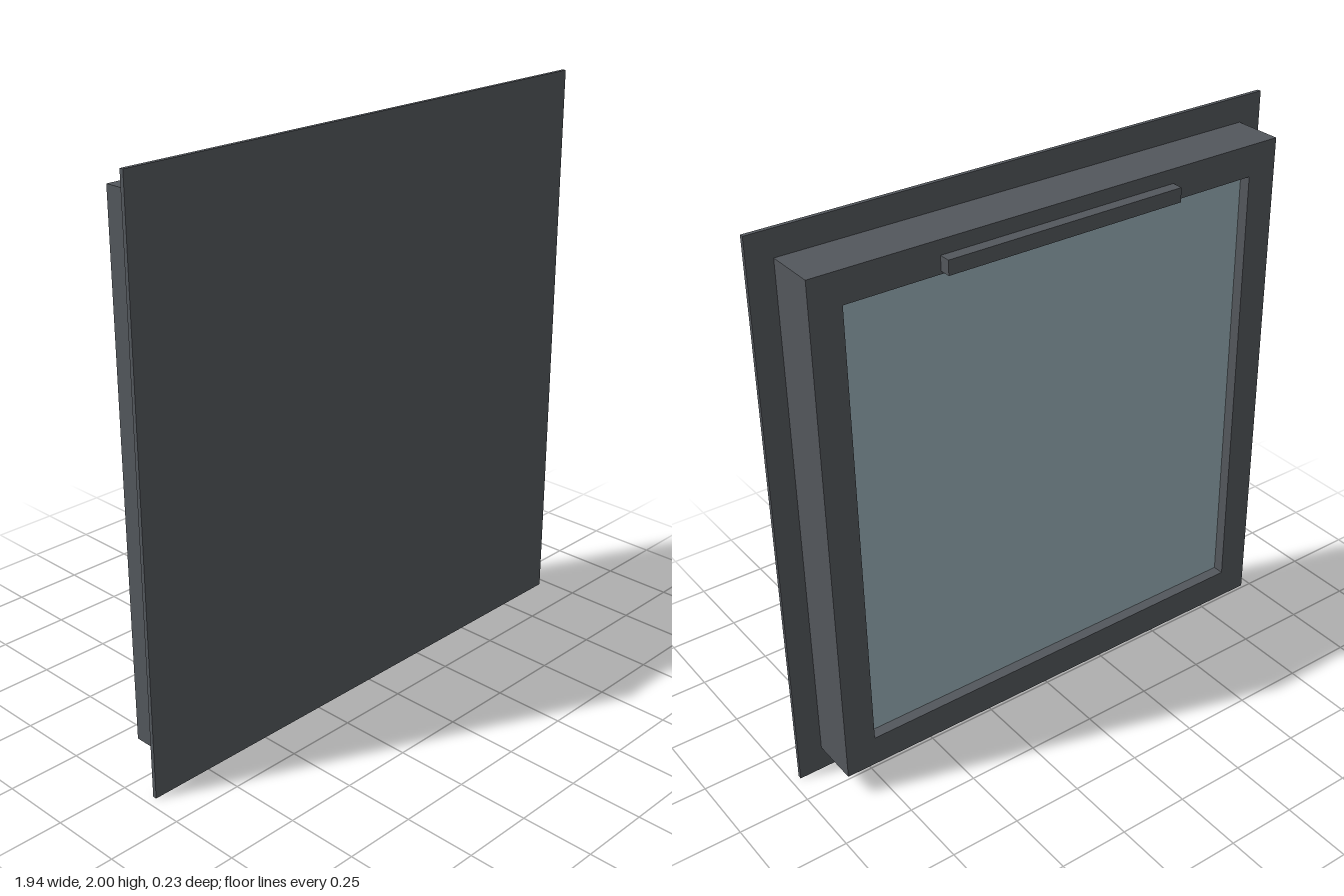
import * as THREE from 'three';

export function createModel() {
  const model = new THREE.Group();
  const frameMat = new THREE.MeshStandardMaterial({ color: 0x53575c });
  frameMat.name = 'anthraciteFrame';
  const glassMat = new THREE.MeshStandardMaterial({ color: 0x98aeb6 });
  glassMat.name = 'paleBlueGlass';

  const add = (name, geometry, material, x, y, z) => {
    const mesh = new THREE.Mesh(geometry, material);
    mesh.name = name;
    mesh.position.set(x, y, z);
    model.add(mesh);
  };
  // Closed rectangle centred on the origin, for outlines and holes
  const rectangle = (Type, w, h) => new Type([
    new THREE.Vector2(-w / 2, -h / 2), new THREE.Vector2(w / 2, -h / 2),
    new THREE.Vector2(w / 2, h / 2), new THREE.Vector2(-w / 2, h / 2),
  ]);

  // Thin front cover sheet, wider than the frame all round
  add('frontPanel', new THREE.BoxGeometry(1.936, 2, 0.014), frameMat, 0, 1, 0.108);

  // Deep sash frame with a rectangular opening
  const outline = rectangle(THREE.Shape, 1.76, 1.82);
  outline.holes.push(rectangle(THREE.Path, 1.54, 1.6));
  const frame = new THREE.ExtrudeGeometry(outline, { depth: 0.176, bevelEnabled: false });
  add('sashFrame', frame, frameMat, 0, 1, -0.075);

  // Glass pane recessed into the back of the opening
  add('glassPane', new THREE.BoxGeometry(1.54, 1.6, 0.03), glassMat, 0, 1, -0.02);

  // Long handle bar on the top rail
  add('handleBar', new THREE.BoxGeometry(0.88, 0.05, 0.04), frameMat, 0, 1.835, -0.095);

  return model;
}
